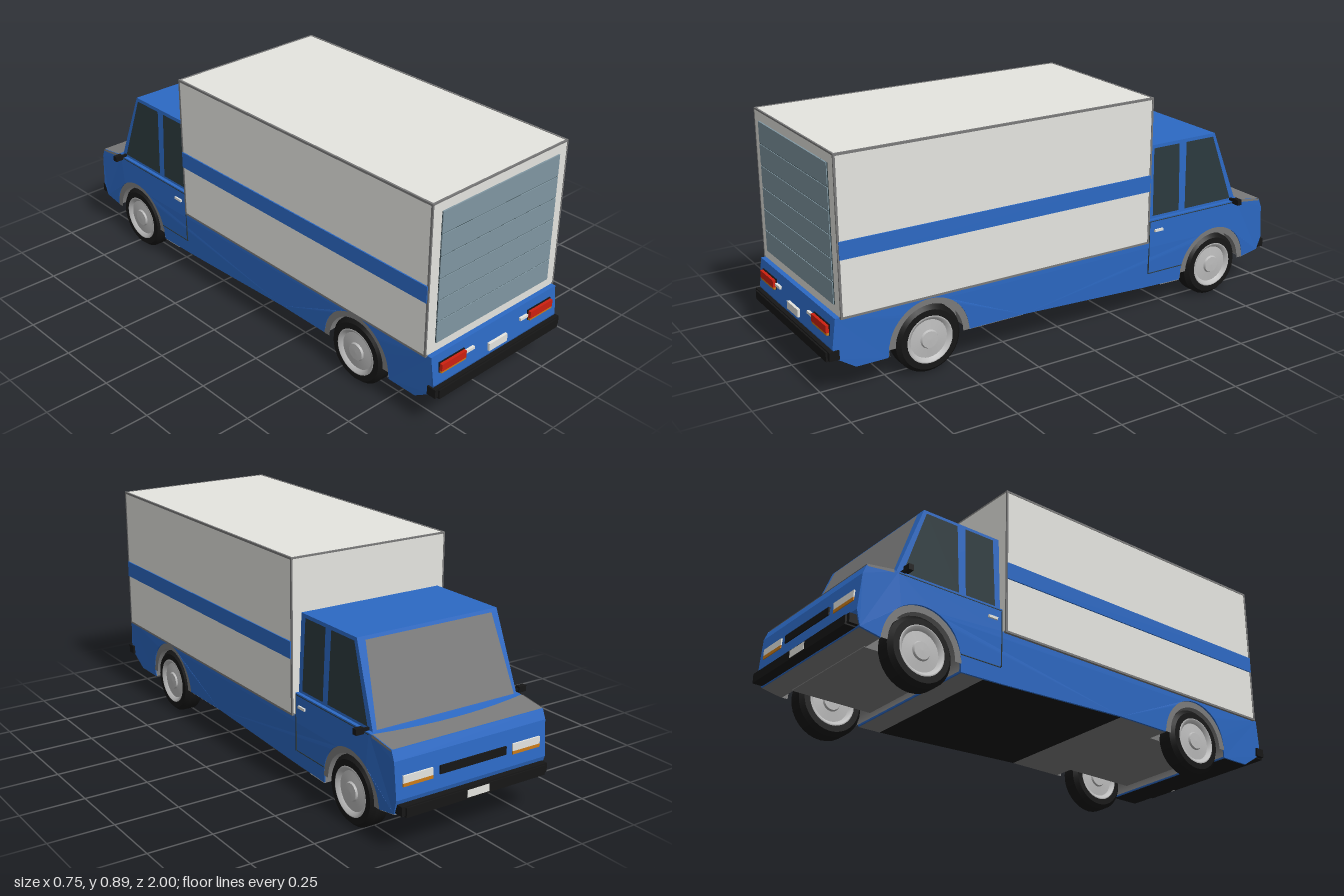
import * as THREE from 'three';

const mat = (name, color, side = THREE.FrontSide) => {
  const m = new THREE.MeshStandardMaterial({ color, side });
  m.name = name;
  return m;
};

export function createModel() {
  const D = THREE.DoubleSide;
  const blue = mat('bluePaint', 0x2c69c4);
  const white = mat('offWhite', 0xe5e5e0);
  const grey = mat('midGrey', 0x7a7a7a, D);
  const glass = mat('darkGlass', 0x2b393d, D);
  const shutterMat = mat('shutterBlueGrey', 0x8097a2);
  const black = mat('blackRubber', 0x161616, D);
  const red = mat('redLens', 0xce2010);
  const amber = mat('amberLens', 0xcc7c18);
  const silver = mat('silver', 0xbcbcbc, D);

  const truck = new THREE.Group();
  truck.name = 'boxTruck';
  const add = (name, geo, material) => {
    const m = new THREE.Mesh(geo, material);
    m.name = name;
    truck.add(m);
    return m;
  };
  // Box given by its extents
  const box = (name, material, x0, x1, y0, y1, z0, z1) =>
    add(name, new THREE.BoxGeometry(x1 - x0, y1 - y0, z1 - z0)
      .translate((x0 + x1) / 2, (y0 + y1) / 2, (z0 + z1) / 2), material);
  // Flat convex panel from its corner loop
  const panel = (name, material, pts) => {
    const pos = [];
    for (let i = 1; i < pts.length - 1; i++) pos.push(...pts[0], ...pts[i], ...pts[i + 1]);
    const g = new THREE.BufferGeometry();
    g.setAttribute('position', new THREE.Float32BufferAttribute(pos, 3));
    g.computeVertexNormals();
    return add(name, g, material);
  };

  // Lower body: side profile with wheel arches, extruded across the width
  const W = 0.331, wheelY = 0.13, archR = 0.162, axles = [0.6, -0.71];
  const s = new THREE.Shape();
  s.moveTo(-0.965, 0.303);
  [[-0.978, 0.19], [-0.965, 0.15], [-0.89, 0.1], [-0.765, 0.1]].forEach(p => s.lineTo(...p));
  s.absarc(-0.6, wheelY, archR, Math.PI, 0, true);
  [[-0.2, 0.13], [0.36, 0.105], [0.545, 0.1]].forEach(p => s.lineTo(...p));
  s.absarc(0.71, wheelY, archR, Math.PI, 0, true);
  [[0.955, 0.145], [0.972, 0.2], [0.96, 0.335], [0.946, 0.37], [0.82, 0.389], [0.375, 0.389], [0.375, 0.303]]
    .forEach(p => s.lineTo(...p));
  const bodyGeo = new THREE.ExtrudeGeometry(s, { depth: 2 * W, bevelEnabled: false, curveSegments: 20 })
    .rotateY(Math.PI / 2).translate(-W, 0, 0);
  const bp = bodyGeo.attributes.position;
  for (let i = 0; i < bp.count; i++) { // slight tuck-in toward the sills
    bp.setX(i, bp.getX(i) * (1 - Math.max(0, 0.25 - bp.getY(i)) * 0.2));
  }
  bodyGeo.computeVertexNormals();
  add('lowerBody', bodyGeo, blue);

  // Underfloor: grey around the axles, black in the middle and at the tail
  box('rearAxleFloor', grey, -0.235, 0.235, 0.128, 0.27, 0.43, 0.77);
  box('frontAxleFloor', grey, -0.235, 0.235, 0.125, 0.27, -0.88, -0.54);
  [['rearSlope', black, 0.966, 0.147, 0.889, 0.097], ['rearFloor', black, 0.889, 0.097, 0.766, 0.097],
    ['forwardRearFloor', grey, 0.436, 0.127, 0.2, 0.127], ['middleFloor', black, 0.2, 0.127, -0.36, 0.102],
    ['middleFloorEnd', black, -0.36, 0.102, -0.45, 0.0985], ['cabFloor', grey, -0.45, 0.0985, -0.544, 0.097],
    ['frontFloor', grey, -0.874, 0.127, -0.955, 0.142]].forEach(([name, m, za, ya, zb, yb]) =>
    panel(name, m, [[-0.32, ya, za], [0.32, ya, za], [0.32, yb, zb], [-0.32, yb, zb]]));
  box('exhaustTip', silver, 0.168, 0.184, 0.138, 0.146, 0.9, 0.985);

  // Cab upper: box tapered toward the roof
  const y0 = 0.385, y1 = 0.685;
  const t = y => (y - y0) / (y1 - y0);
  const sideX = y => 0.317 - 0.012 * t(y);
  const frontZ = y => -0.825 + 0.115 * t(y);
  const cabGeo = new THREE.BoxGeometry(2, 1, 2);
  const cp = cabGeo.attributes.position;
  for (let i = 0; i < cp.count; i++) {
    const y = cp.getY(i) > 0 ? y1 : y0;
    cp.setXYZ(i, Math.sign(cp.getX(i)) * sideX(y), y, cp.getZ(i) < 0 ? frontZ(y) : -0.376);
  }
  cabGeo.computeVertexNormals();
  add('cabUpper', cabGeo, blue);

  // Windscreen and bonnet panel with a curved rear edge
  const wz = y => frontZ(y) - 0.004;
  panel('windscreen', grey, [[0.302, 0.394, wz(0.394)], [-0.302, 0.394, wz(0.394)],
    [-0.275, 0.674, wz(0.674)], [0.275, 0.674, wz(0.674)]]);
  const hoodY = z => 0.3925 + (z + 0.82) * 0.151;
  const hood = [];
  for (let i = 0; i <= 10; i++) {
    const x = -0.328 + 0.0656 * i, z = -0.838 - 0.027 * (1 - (x / 0.328) ** 2);
    hood.push([x, hoodY(z), z]);
  }
  const hoodFront = [[0.328, hoodY(-0.946), -0.946], [-0.328, hoodY(-0.946), -0.946]];
  panel('bonnetPanel', grey, [hoodFront[1], ...hood, hoodFront[0]]);

  for (const sx of [1, -1]) {
    const tag = sx > 0 ? 'left' : 'right';
    const sideBox = (name, m, a, b, ...r) => box(tag + name, m, Math.min(sx * a, sx * b), Math.max(sx * a, sx * b), ...r);
    const sidePanel = (name, pts) =>
      panel(tag + name, glass, pts.map(([z, y]) => [sx * (sideX(y) + 0.002), y, z]));

    // Side glass and bonnet edge
    sidePanel('RearWindow', [[-0.4, 0.4], [-0.53, 0.4], [-0.53, 0.672], [-0.405, 0.672]]);
    sidePanel('DoorWindow', [[-0.56, 0.4], [-0.795, 0.4], [-0.7, 0.672], [-0.565, 0.672]]);
    panel(tag + 'BonnetEdge', grey, [[-0.838, 0], [-0.946, 0], [-0.943, -0.008], [-0.838, -0.012]]
      .map(([z, dy]) => [sx * 0.332, hoodY(z) + dy, z]));

    // Door seams, handle and mirror
    sideBox('BeltSeam', glass, 0.328, 0.332, 0.381, 0.384, -0.82, -0.376);
    sideBox('DoorSeam', glass, 0.328, 0.332, 0.165, 0.383, -0.379, -0.376);
    sideBox('SillSeam', glass, 0.31, 0.3275, 0.162, 0.165, -0.55, -0.378);
    sideBox('DoorHandle', white, 0.328, 0.338, 0.338, 0.348, -0.44, -0.4);
    sideBox('MirrorArm', black, 0.31, 0.345, 0.39, 0.4, -0.805, -0.795);
    sideBox('Mirror', black, 0.342, 0.375, 0.384, 0.406, -0.81, -0.79);

    // Cargo side stripe and edge trims wrapped over the corners
    sideBox('CargoStripe', blue, 0.336, 0.345, 0.515, 0.58, -0.363, 0.943);
    sideBox('TopTrim', grey, 0.334, 0.3415, 0.878, 0.8865, -0.367, 0.947);
    sideBox('BottomTrim', grey, 0.33, 0.3415, 0.299, 0.307, -0.367, 0.947);
    for (const z of [-0.3675, 0.9395]) sideBox('EdgeTrim', grey, 0.336, 0.3415, 0.3, 0.8865, z, z + 0.008);

    // Rear lamps on thin dark backings
    sideBox('TailLampBacking', black, 0.169, 0.298, 0.229, 0.271, 0.95, 0.9735);
    sideBox('TailLamp', red, 0.172, 0.295, 0.24, 0.268, 0.95, 0.985);
    sideBox('RearIndicator', amber, 0.172, 0.295, 0.231, 0.24, 0.95, 0.983);
    sideBox('ReverseLamp', white, 0.123, 0.164, 0.249, 0.26, 0.95, 0.98);

    // Headlamps
    sideBox('Headlamp', white, 0.175, 0.3, 0.255, 0.282, -0.971, -0.94);
    sideBox('FrontIndicator', amber, 0.175, 0.3, 0.243, 0.255, -0.972, -0.94);

    // Wheels with arch lips
    for (const z of axles) {
      const end = z > 0 ? 'Rear' : 'Front';
      const turn = pts => new THREE.LatheGeometry(pts.map(p => new THREE.Vector2(...p)), 32).rotateZ(-Math.PI / 2);
      const wheel = new THREE.Group();
      wheel.name = tag + end + 'Wheel';
      const part = (name, g, m) => { const k = new THREE.Mesh(g, m); k.name = name; wheel.add(k); };
      part('tyre', turn([[0.085, -0.042], [0.115, -0.042], [0.115, -0.042], [0.13, -0.026], [0.13, -0.026],
        [0.13, 0.026], [0.13, 0.026], [0.115, 0.042], [0.115, 0.042], [0.085, 0.042]]), black);
      for (const k of [1, -1]) { // dished rim and hub cap on both faces
        part('rim', turn([[0.092, 0.043 * k], [0.086, 0.045 * k], [0.074, 0.032 * k], [0.074, 0.032 * k],
          [0.036, 0.036 * k], [0.036, 0.036 * k], [0.032, 0.043 * k], [0.032, 0.043 * k], [0, 0.044 * k]]), silver);
      }
      wheel.position.set(sx * 0.2825, wheelY, z);
      truck.add(wheel);

      add(tag + end + 'ArchLip', new THREE.RingGeometry(0.137, archR + 0.002, 28, 1, 0, Math.PI)
        .rotateY(Math.PI / 2).translate(sx * 0.324, wheelY, z), grey);
    }
  }

  // Arch linings, carried a little lower on the +z side
  for (const z of axles) {
    add(z > 0 ? 'rearArchLiner' : 'frontArchLiner',
      new THREE.CylinderGeometry(archR - 0.002, archR - 0.002, 0.64, 28, 1, true, -0.18, Math.PI + 0.18)
        .rotateZ(Math.PI / 2).translate(0, wheelY, z), grey);
  }

  // Cargo box and roller shutter
  box('cargoBox', white, -0.34, 0.34, 0.302, 0.885, -0.366, 0.946);
  for (const z of [-0.367, 0.94]) box('cargoEndTrim', grey, -0.336, 0.336, 0.88, 0.8862, z, z + 0.007);
  box('shutterBacking', glass, -0.295, 0.295, 0.34, 0.845, 0.94, 0.949);
  const pitch = 0.505 / 6;
  for (let i = 0; i < 6; i++) {
    const y = 0.34 + i * pitch;
    box('shutterSlat', shutterMat, -0.295, 0.295, y + (i ? 0.002 : 0), y + pitch - (i < 5 ? 0.002 : 0), 0.945, 0.952);
  }

  // Bumpers, plates and grille
  for (const [end, sz, w] of [['rear', 1, 0.333], ['front', -1, 0.32]]) {
    const zBox = (name, x, ya, yb, c, d) =>
      box(end + name, black, -x, x, ya, yb, Math.min(sz * c, sz * d), Math.max(sz * c, sz * d));
    zBox('Bumper', w, 0.15, 0.184, 0.955, 0.993);
    zBox('BumperFace', w - 0.015, 0.145, 0.18, 0.96, 1.0);
  }
  box('rearPlate', white, -0.048, 0.048, 0.204, 0.234, 0.96, 0.984);
  box('frontPlate', white, -0.048, 0.048, 0.15, 0.178, -1.001, -0.995);
  box('grille', black, -0.145, 0.145, 0.25, 0.28, -0.972, -0.94);

  return truck;
}
